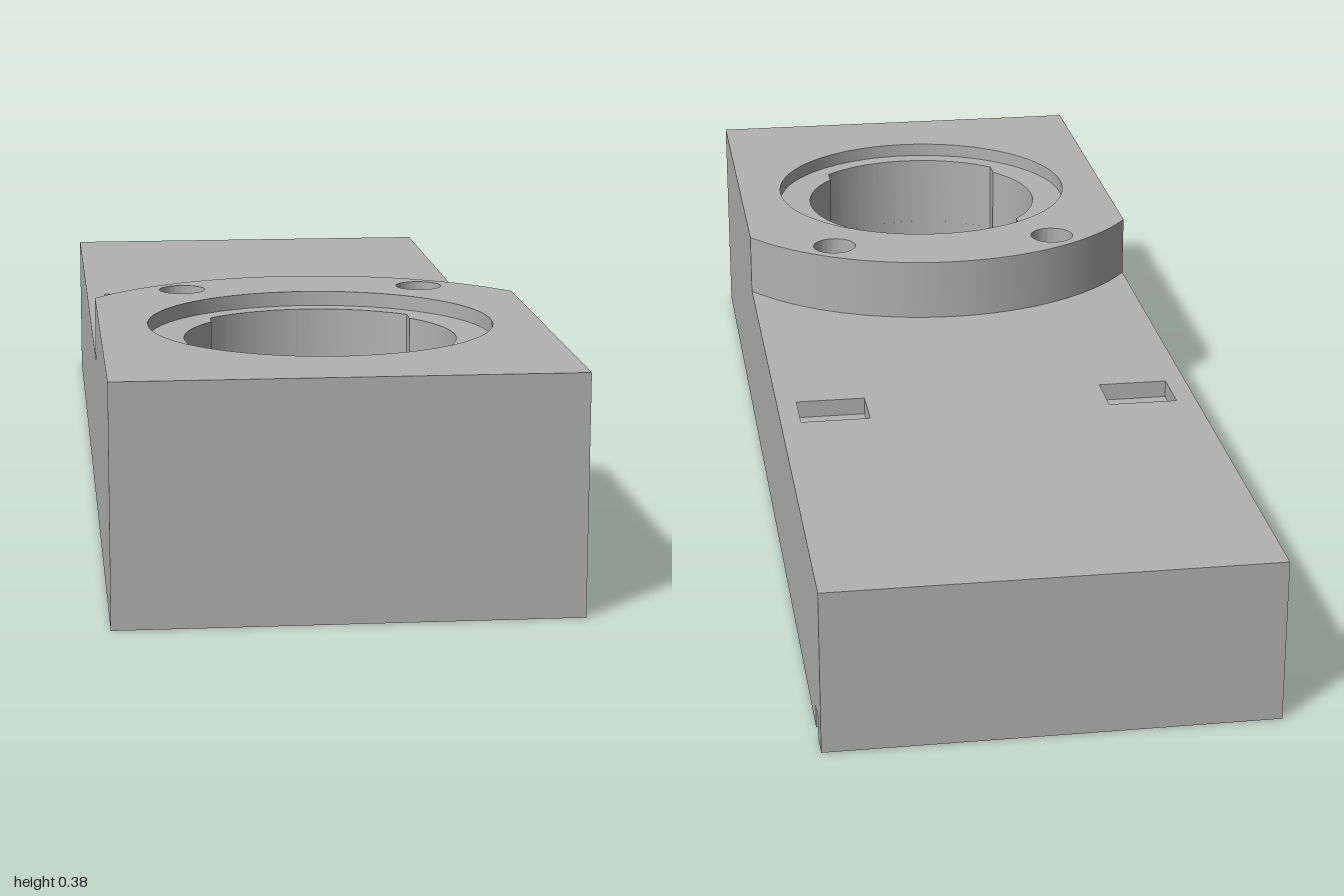
import * as THREE from 'three';
import { toCreasedNormals } from 'three/addons/utils/BufferGeometryUtils.js';

const W = 0.365, L = 1, WALL = 0.0625;   // half width, half length, wall thickness
const BORE_Z = 0.555;                    // centre of the round socket

// Plans are drawn in (x, -z) and extruded upwards.
function rect(x0, x1, z0, z1, Type = THREE.Path) {
  const p = new Type();
  p.moveTo(x0, -z1);
  p.lineTo(x1, -z1);
  p.lineTo(x1, -z0);
  p.lineTo(x0, -z0);
  p.closePath();
  return p;
}

function circle(x, z, r, Type = THREE.Path) {
  const p = new Type();
  p.absarc(x, -z, r, 0, Math.PI * 2, false);
  return p;
}

// Bore with wider slots at the front and back
function slottedBore() {
  const rIn = 0.225, rOut = 0.25, half = 0.17;
  const a = Math.acos(half / rIn), b = Math.acos(half / rOut);
  const p = new THREE.Path();
  p.absarc(0, -BORE_Z, rIn, -a, a, false);
  p.absarc(0, -BORE_Z, rOut, b, Math.PI - b, false);
  p.absarc(0, -BORE_Z, rIn, Math.PI - a, Math.PI + a, false);
  p.absarc(0, -BORE_Z, rOut, Math.PI + b, 2 * Math.PI - b, false);
  p.closePath();
  return p;
}

// Raised block outline with an arched back edge
function raisedOutline() {
  const r = 0.445, a = Math.acos(W / r);
  const s = new THREE.Shape();
  s.moveTo(-W, -L);
  s.lineTo(W, -L);
  s.absarc(0, -BORE_Z, r, a, Math.PI - a, false);
  s.closePath();
  return s;
}

// Wall ring cut open by the small cable notch on the left side
function notchedWalls() {
  const i = W - WALL, k = L - WALL, n0 = 0.955, n1 = 0.92;
  const s = new THREE.Shape();
  [[W, n1], [i, n1], [i, -k], [-i, -k], [-i, k], [i, k], [i, n0], [W, n0],
    [W, L], [-W, L], [-W, -L], [W, -L]]
    .forEach(([x, y], j) => (j ? s.lineTo(x, y) : s.moveTo(x, y)));
  s.closePath();
  return s;
}

export function createModel() {
  const model = new THREE.Group();
  model.name = 'socketHousing';
  const grey = new THREE.MeshStandardMaterial({ color: 0xb2b2b2 });
  grey.name = 'grey';

  function layer(name, y0, y1, shape, holes = []) {
    shape.holes.push(...holes);
    let g = new THREE.ExtrudeGeometry(shape, { depth: y1 - y0, bevelEnabled: false, curveSegments: 40 });
    g.rotateX(-Math.PI / 2);
    g.translate(0, y0, 0);
    g = toCreasedNormals(g, 0.5);
    const mesh = new THREE.Mesh(g, grey);
    mesh.name = name;
    model.add(mesh);
  }

  const base = () => rect(-W, W, -L, L, THREE.Shape);
  const bore = (r) => circle(0, BORE_Z, r);
  const pockets = [rect(-0.33, -0.21, -0.35, -0.26), rect(0.21, 0.33, -0.35, -0.26)];
  const screwHoles = () => [-0.21, 0.21].map((x) => circle(x, 0.23, 0.04));

  // Open underside: walls and the round sleeve
  layer('notchedWalls', 0, 0.04, notchedWalls());
  layer('walls', 0.04, 0.15, base(), [rect(-W + WALL, W - WALL, -L + WALL, L - WALL)]);
  layer('sleeve', 0, 0.15, circle(0, BORE_Z, 0.287, THREE.Shape), [bore(0.225)]);

  // Main plate, with the undercut groove and shallow pockets
  layer('plateBottom', 0.15, 0.18, base(), [bore(0.225)]);
  layer('undercutLayer', 0.18, 0.225, base(), [bore(0.25)]);
  layer('plateMiddle', 0.225, 0.245, base(), [slottedBore()]);
  layer('plateTop', 0.245, 0.275, base(), [slottedBore(), ...pockets]);

  // Raised block, with screw holes and a recessed seat
  layer('raisedBlock', 0.275, 0.36, raisedOutline(), [slottedBore(), ...screwHoles()]);
  layer('recessRim', 0.36, 0.385, raisedOutline(), [bore(0.285), ...screwHoles()]);

  return model;
}
